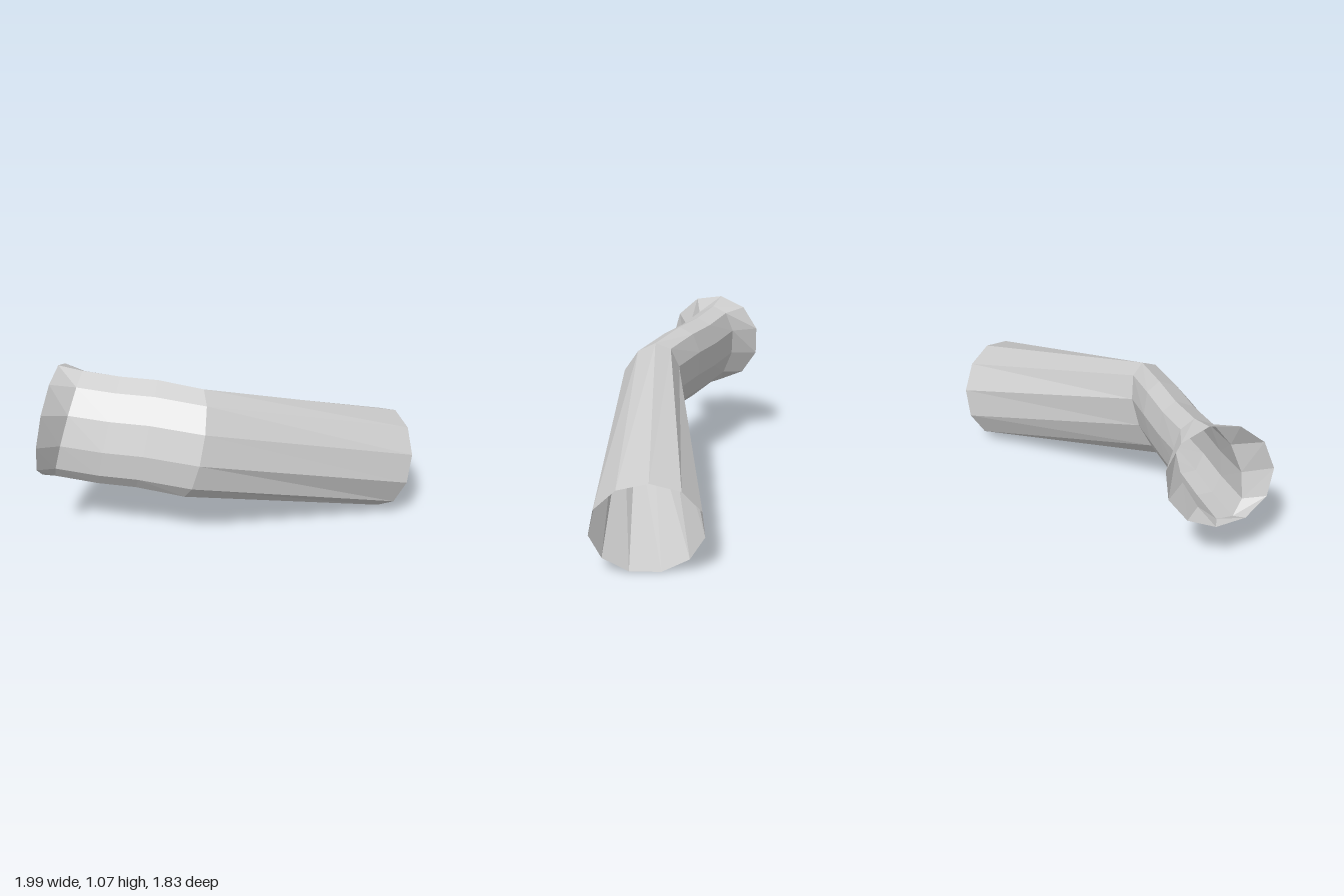
import * as THREE from 'three';

const SIDES = 11;
const PHASE = -6 * Math.PI / 180;

// Elliptical sections along the pipe: centre, half-width vector, half-height vector
const SECTIONS = [
  [[-0.875, 0.76, 0.61], [0.12, 0, 0.305], [0.02, 0.32, -0.065]],      // flared mouth
  [[-0.78, 0.735, 0.565], [0.065, -0.03, 0.175], [0.05, 0.31, -0.09]], // neck
  [[-0.55, 0.71, 0.48], [0.07, -0.03, 0.17], [0.03, 0.31, -0.09]],
  [[-0.335, 0.705, 0.405], [0.085, -0.03, 0.165], [0.03, 0.31, -0.09]],
  [[-0.07, 0.67, 0.32], [0.135, -0.03, 0.135], [0.03, 0.31, -0.09]],   // elbow
  [[0.745, 0.315, -0.70], [0.253, 0, 0.196], [0.049, 0.31, -0.063]],   // round outlet
];

// Skin a run of sections with open ends
function loft(sections) {
  const positions = [];
  const index = [];
  sections.forEach(([c, h, v], i) => {
    for (let k = 0; k < SIDES; k++) {
      const a = PHASE + (k / SIDES) * Math.PI * 2;
      for (let n = 0; n < 3; n++) positions.push(c[n] + h[n] * Math.cos(a) + v[n] * Math.sin(a));
      if (i === sections.length - 1) continue;
      const p = i * SIDES + k;
      const q = i * SIDES + (k + 1) % SIDES;
      index.push(p, p + SIDES, q, q, p + SIDES, q + SIDES);
    }
  });
  const indexed = new THREE.BufferGeometry();
  indexed.setAttribute('position', new THREE.Float32BufferAttribute(positions, 3));
  indexed.setIndex(index);
  const geometry = indexed.toNonIndexed();
  geometry.computeVertexNormals();
  return geometry;
}

export function createModel() {
  const group = new THREE.Group();
  group.name = 'bentPipe';
  const material = new THREE.MeshStandardMaterial({
    color: 0xcccccc, flatShading: true, side: THREE.DoubleSide,
  });

  const addPart = (name, from, to) => {
    const mesh = new THREE.Mesh(loft(SECTIONS.slice(from, to + 1)), material);
    mesh.name = name;
    group.add(mesh);
  };
  addPart('flaredMouth', 0, 1);
  addPart('curvedNeck', 1, 4);
  addPart('straightTube', 4, 5);
  return group;
}
